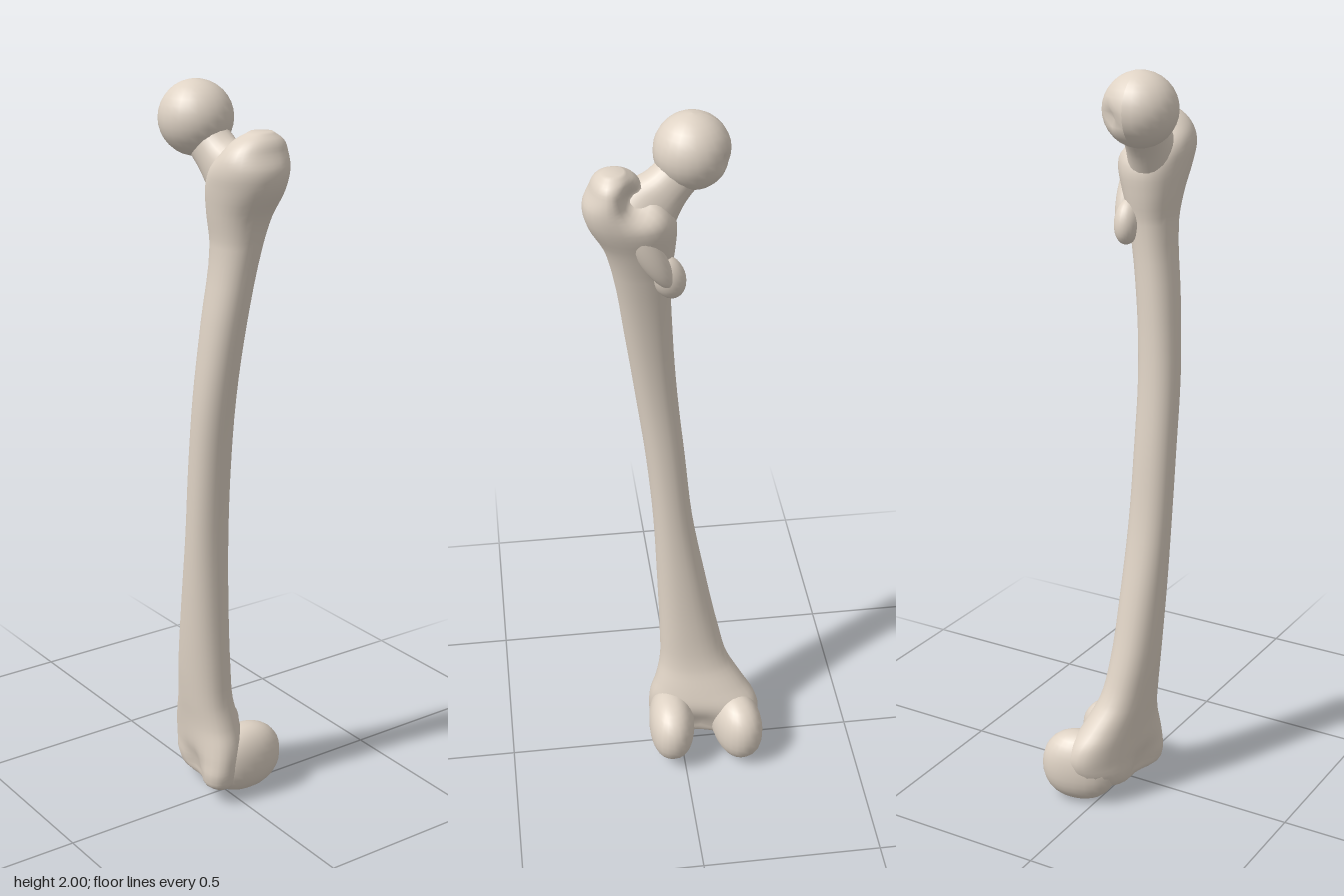
import * as THREE from 'three';

const bone = new THREE.MeshStandardMaterial({ color: 0xdfd3c5 });
const SIDES = 28;
const soften = (c, power) => Math.sign(c) * Math.abs(c) ** power;

// Closed loft from rows of [y, xMin, xMax, zMin, zMax, skew]; skew turns the section towards +z on its +x side
function loft(rows, steps = 4) {
  const spline = new THREE.CubicInterpolant(rows.map(r => r[0]), rows.flatMap(r => r.slice(1)), 5, new Float32Array(5));
  const heights = [rows[0][0]];
  for (let i = 1; i < rows.length; i++)
    for (let k = 1; k <= steps; k++) heights.push(THREE.MathUtils.lerp(rows[i - 1][0], rows[i][0], k / steps));
  const pos = [], index = [], last = heights.length - 1;
  const caps = [];
  heights.forEach((y, i) => {
    const [x0, x1, z0, z1, skew] = spline.evaluate(y);
    const cx = (x0 + x1) / 2, cz = (z0 + z1) / 2;
    for (let j = 0; j < SIDES; j++) {
      const a = j / SIDES * Math.PI * 2;
      const dx = soften(Math.cos(a), 0.92) * (x1 - x0) / 2;
      pos.push(cx + dx, y, cz + soften(Math.sin(a), 0.92) * (z1 - z0) / 2 + skew * dx);
      if (i < last) {
        const p = i * SIDES + j, q = i * SIDES + (j + 1) % SIDES;
        index.push(p, p + SIDES, q, q, p + SIDES, q + SIDES);
      }
    }
    if (i === 0 || i === last) caps.push([cx, y, cz]);
  });
  const low = pos.length / 3, high = low + 1, top = last * SIDES;
  pos.push(...caps[0], ...caps[1]);
  for (let j = 0; j < SIDES; j++) {
    const n = (j + 1) % SIDES;
    index.push(low, j, n, high, top + n, top + j);
  }
  const geo = new THREE.BufferGeometry();
  geo.setAttribute('position', new THREE.Float32BufferAttribute(pos, 3));
  geo.setIndex(index);
  geo.computeVertexNormals();
  return geo;
}

// Pushes the surface around a point with a soft falloff
function sculpt(geo, centre, push, radius) {
  const p = geo.attributes.position, v = new THREE.Vector3();
  const c = new THREE.Vector3(...centre), d = new THREE.Vector3(...push);
  for (let i = 0; i < p.count; i++) {
    v.fromBufferAttribute(p, i);
    v.addScaledVector(d, Math.exp(-v.distanceToSquared(c) / (radius * radius)));
    p.setXYZ(i, v.x, v.y, v.z);
  }
  geo.computeVertexNormals();
  return geo;
}

export function createModel() {
  const group = new THREE.Group();
  group.name = 'thighBone';

  const add = (name, geo) => {
    const mesh = new THREE.Mesh(geo, bone);
    mesh.name = name;
    group.add(mesh);
    return mesh;
  };
  // Rounded knob, a little fuller than an ellipsoid when power < 1
  const knob = (name, centre, radii, power = 1) => {
    const geo = new THREE.SphereGeometry(1, 24, 16);
    const p = geo.attributes.position, n = geo.attributes.normal;
    for (let i = 0; i < p.count; i++) {
      const c = [p.getX(i), p.getY(i), p.getZ(i)];
      p.setXYZ(i, ...c.map((e, k) => soften(e, power) * radii[k]));
      const m = new THREE.Vector3(...c.map((e, k) => soften(e, 2 - power) / radii[k])).normalize();
      n.setXYZ(i, m.x, m.y, m.z);
    }
    const mesh = add(name, geo);
    mesh.position.set(...centre);
    return mesh;
  };

  // Shaft, flaring into the knee end below and the greater trochanter above
  const shaft = loft([
    [0.04, -0.13, 0.05, -0.02, 0.05, 0.15],
    [0.05, -0.16, 0.07, -0.04, 0.075, 0.2],
    [0.08, -0.2, 0.085, -0.06, 0.09, 0.22],
    [0.13, -0.225, 0.09, -0.07, 0.085, 0.22],
    [0.18, -0.218, 0.085, -0.07, 0.085, 0.18],
    [0.23, -0.185, 0.07, -0.055, 0.09, 0.12],
    [0.3, -0.142, 0.056, -0.03, 0.1, 0.06],
    [0.4, -0.115, 0.055, -0.015, 0.11, 0],
    [0.6, -0.075, 0.06, 0, 0.12, 0],
    [0.8, -0.04, 0.068, 0.01, 0.125, 0],
    [1.0, -0.02, 0.085, 0.015, 0.127, 0],
    [1.2, 0, 0.11, 0.015, 0.125, 0],
    [1.4, 0.014, 0.137, 0, 0.11, 0],
    [1.6, 0.02, 0.167, -0.03, 0.09, 0],
    [1.68, 0.01, 0.19, -0.05, 0.1, 0],
    [1.75, 0.01, 0.228, -0.07, 0.11, 0],
    [1.8, 0.04, 0.236, -0.075, 0.113, 0],
    [1.84, 0.085, 0.22, -0.07, 0.1, 0],
    [1.87, 0.108, 0.207, -0.055, 0.07, 0],
    [1.89, 0.135, 0.185, -0.025, 0.03, 0],
  ]);
  sculpt(shaft, [-0.04, 0.08, 0.1], [0, 0, -0.035], 0.055);         // kneecap groove
  sculpt(shaft, [-0.05, 0.08, -0.07], [0, 0.01, 0.03], 0.06);       // notch between the condyles
  sculpt(shaft, [0.1, 1.83, -0.06], [0.02, -0.015, 0.05], 0.045);   // hollow behind the neck
  add('shaft', shaft);

  // Neck, leaning in from the trochanter to the head
  const neck = add('neck', loft([
    [0, -0.1, 0.09, -0.06, 0.07, 0],
    [0.06, -0.078, 0.082, -0.052, 0.062, 0],
    [0.12, -0.062, 0.058, -0.052, 0.056, 0],
    [0.2, -0.06, 0.055, -0.055, 0.055, 0],
  ]));
  neck.position.set(0.11, 1.74, 0.02);
  neck.quaternion.setFromUnitVectors(new THREE.Vector3(0, 1, 0), new THREE.Vector3(-0.13, 0.14, 0.035).normalize());

  // Ball head with its small pit
  const head = knob('head', [-0.035, 1.905, 0.062], [0.095, 0.095, 0.096]);
  sculpt(head.geometry, [-0.08, -0.015, -0.045], [0.018, 0, 0.01], 0.022);

  // Lesser trochanter and the crest running up from it
  knob('lesserTrochanter', [0.032, 1.605, -0.012], [0.042, 0.06, 0.034]).rotation.z = -0.3;
  knob('trochanterCrest', [0.085, 1.69, -0.032], [0.034, 0.12, 0.032]).rotation.z = -0.5;

  // Condyles of the knee joint
  knob('innerCondyle', [-0.158, 0.105, -0.055], [0.068, 0.101, 0.106], 0.9).rotation.y = 0.25;
  knob('outerCondyle', [0.032, 0.115, -0.04], [0.066, 0.098, 0.115], 0.9).rotation.y = -0.05;

  return group;
}
